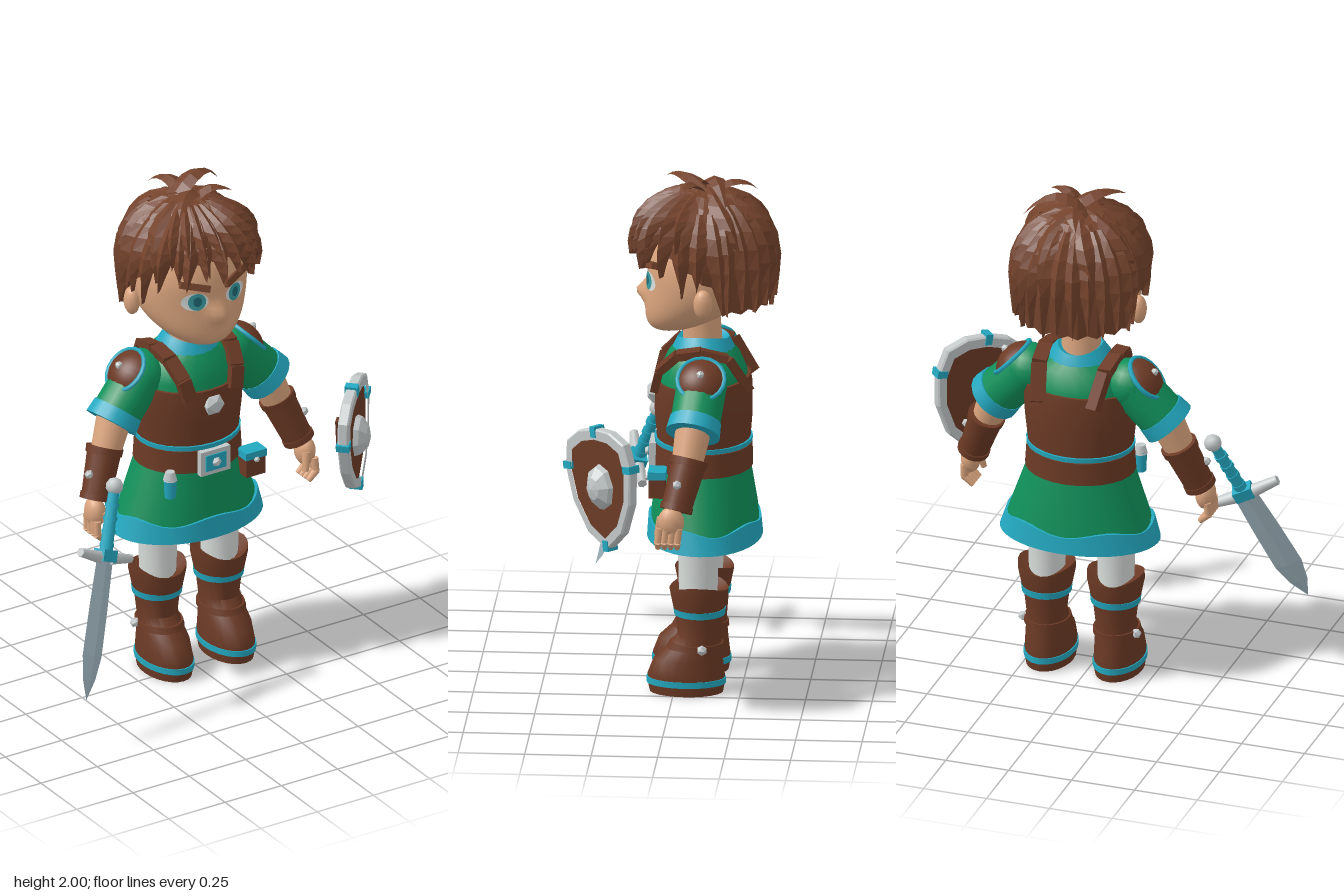
import * as THREE from 'three';
import { toCreasedNormals, mergeGeometries } from 'three/addons/utils/BufferGeometryUtils.js';

const V = (x, y, z) => new THREE.Vector3(x, y, z);
const mat = (name, color, extra = {}) => Object.assign(new THREE.MeshStandardMaterial({ color, ...extra }), { name });

export function createModel() {
  const D = { side: THREE.DoubleSide };
  const skin = mat('skin', 0xdba57e), hair = mat('hair brown', 0x74432c, { ...D, flatShading: true });
  const leather = mat('leather brown', 0x6c3a25, D), green = mat('tunic green', 0x10905a, D);
  const cyan = mat('trim cyan', 0x23a8c0, D), silver = mat('silver', 0xc3c8c8), white = mat('white cloth', 0xd9dedb);
  const steel = mat('blade steel', 0xa3b8c2, { flatShading: true });
  const iris = mat('iris teal', 0x3a9ca0), pupil = mat('pupil teal', 0x1d6873);

  const model = new THREE.Group(), body = new THREE.Group();
  body.name = 'body';
  body.position.x = 0.03;
  model.add(body);

  const add = (parent, name, geo, material, pos) => {
    const m = new THREE.Mesh(geo, material);
    m.name = name;
    if (pos) m.position.copy(pos);
    parent.add(m);
    return m;
  };
  // Elliptical cross-sections [y, z, rx, rz, x] joined from bottom to top
  const loft = (secs, seg = 24, wave = () => 0, caps = true) => {
    const p = [], idx = [];
    secs.forEach(([y, z, rx, rz, x = 0], j) => {
      for (let i = 0; i < seg; i++) {
        const a = i / seg * Math.PI * 2;
        p.push(x + rx * Math.sin(a), y + wave(a, j), z + rz * Math.cos(a));
      }
    });
    const n = secs.length;
    for (let j = 0; j < n - 1; j++) for (let i = 0; i < seg; i++) {
      const a = j * seg + i, b = j * seg + (i + 1) % seg;
      idx.push(a, b, a + seg, b, b + seg, a + seg);
    }
    if (caps) for (let i = 1; i < seg - 1; i++) {
      const t = (n - 1) * seg;
      idx.push(0, i + 1, i, t, t + i, t + i + 1);
    }
    const g = new THREE.BufferGeometry();
    g.setAttribute('position', new THREE.Float32BufferAttribute(p, 3));
    g.setIndex(idx);
    return toCreasedNormals(g, 0.7);
  };
  const align = (m, a, b) => {
    m.position.copy(a).lerp(b, 0.5);
    m.quaternion.setFromUnitVectors(V(0, 1, 0), b.clone().sub(a).normalize());
    return m;
  };
  const limb = (name, a, b, ra, rb, material, seg = 16) =>
    align(add(body, name, new THREE.CylinderGeometry(rb, ra, a.distanceTo(b), seg), material), a, b);
  const bar = (name, a, b, w, d, material) =>
    align(add(body, name, new THREE.BoxGeometry(w, a.distanceTo(b), d), material), a, b);
  const stud = (parent, pos, r) => add(parent, 'stud', new THREE.IcosahedronGeometry(r, 0), silver, pos);

  // Head: sphere with the jaw pushed forward and a small nose
  const faceShift = (x, y) => {
    const k = Math.max(0, (1.62 - y) / 0.24);
    return 0.14 * k * k + 0.04 * Math.exp(-((x / 0.03) ** 2) - ((y - 1.53) / 0.035) ** 2);
  };
  const faceZ = (x, y) => -0.1 + 0.21 * Math.sqrt(Math.max(0, 1 - (x / 0.23) ** 2 - ((y - 1.62) / 0.24) ** 2)) + faceShift(x, y);
  const headGeo = new THREE.SphereGeometry(1, 48, 36);
  headGeo.scale(0.23, 0.24, 0.21).translate(0, 1.62, -0.1);
  const hp = headGeo.attributes.position;
  for (let i = 0; i < hp.count; i++) {
    let s = faceShift(hp.getX(i), hp.getY(i));
    if (hp.getZ(i) < -0.1) s = faceShift(1, hp.getY(i));
    hp.setZ(i, hp.getZ(i) + s);
  }
  headGeo.computeVertexNormals();
  add(body, 'head', headGeo, skin);
  add(body, 'neck', loft([[1.28, -0.1, 0.075, 0.075], [1.46, -0.09, 0.072, 0.072]], 16), skin);

  // Eyes are thin discs that follow the face
  const faceDisc = (name, x, y, rx, ry, lift, material) => {
    const g = new THREE.CircleGeometry(1, 20).scale(rx, ry, 1).translate(x, y, 0), p = g.attributes.position;
    for (let i = 0; i < p.count; i++) p.setZ(i, faceZ(p.getX(i), p.getY(i)) + lift);
    g.computeVertexNormals();
    add(body, name, g, material);
  };
  for (const s of [-1, 1]) {
    faceDisc('eyeWhite', s * 0.088, 1.592, 0.05, 0.036, 0.003, white);
    faceDisc('iris', s * 0.083, 1.593, 0.033, 0.035, 0.006, iris);
    faceDisc('pupil', s * 0.083, 1.595, 0.016, 0.02, 0.009, pupil);
    bar('eyebrow', V(s * 0.035, 1.64, 0.112), V(s * 0.14, 1.668, 0.07), 0.026, 0.03, hair);
    add(body, 'ear', new THREE.SphereGeometry(1, 12, 10).scale(0.03, 0.057, 0.036), skin, V(s * 0.236, 1.55, -0.115));
  }

  // Hair: ridged cap with a jagged hem, then layers of pointed locks
  const R = y => y > 1.68 ? 0.258 * Math.sqrt(Math.max(0, 1 - ((y - 1.68) / 0.265) ** 2)) : 0.258 - 0.06 * (1.68 - y);
  const onHead = (a, y, r) => [0.95 * r * Math.sin(a), y, -0.11 + r * Math.cos(a)];
  const grid = (rows, cols, fn) => {
    const p = [], idx = [];
    for (let j = 0; j < rows; j++) for (let i = 0; i < cols; i++) p.push(...fn(j / (rows - 1), i, j));
    for (let j = 0; j < rows - 1; j++) for (let i = 0; i < cols - 1; i++) {
      const a = j * cols + i;
      idx.push(a, a + cols, a + 1, a + 1, a + cols, a + cols + 1);
    }
    const g = new THREE.BufferGeometry();
    g.setAttribute('position', new THREE.Float32BufferAttribute(p, 3));
    g.setIndex(idx);
    g.computeVertexNormals();
    return g;
  };
  const hem = a => {
    const d = Math.abs(Math.atan2(Math.sin(a), Math.cos(a)));
    return d < 0.8 ? 1.75 : d < 1.75 ? 1.75 - 0.15 * (d - 0.8) / 0.95 : 1.5;
  };
  add(body, 'hairCap', grid(10, 41, (t, i, j) => {
    const a = i / 40 * Math.PI * 2, under = j === 9, h = hem(a) + (i % 2) * 0.012;
    const y = under ? h + 0.03 : 1.945 - (1.945 - h) * Math.min(1, j / 8) ** 1.3;
    return onHead(a, y, R(y) * (under ? 0.8 : 1 - (i % 2) * 0.035));
  }), hair);
  const lock = (a, y0, y1, w, lift, twist = 0) => grid(7, 3, (t, i) => {
    const y = y0 + (y1 - y0) * t ** 1.4, half = w / 2 * (t < 0.5 ? 0.6 + 0.8 * t : 2 * (1 - t));
    const r = R(y) + (i === 1 ? lift * (0.3 + 0.7 * Math.sin(t * 2.5)) : -0.008 + lift * 0.3 * t);
    return onHead(a + twist * t + (i - 1) * half, y, r);
  });
  const locks = [];
  for (let i = -4; i <= 4; i++) {
    const odd = Math.abs(i) % 2;
    locks.push(lock(i * 0.23, 1.9, 1.67 + odd * 0.035 - Math.abs(i) * 0.006, 0.42, 0.045 - odd * 0.01, (i % 3) * 0.06));
    locks.push(lock(i * 0.25 + 0.12, 1.93, 1.75 + odd * 0.02, 0.4, 0.055, 0.1));
  }
  for (const s of [-1, 1]) {
    locks.push(lock(s * 1.2, 1.88, 1.57, 0.4, 0.025, s * 0.08), lock(s * 1.5, 1.88, 1.6, 0.42, 0.022));
    locks.push(lock(s * 1.75, 1.88, 1.52, 0.4, 0.024, s * 0.12));
  }
  for (let i = 0; i < 11; i++) locks.push(lock(1.95 + i * 0.238, 1.9, 1.5 + (i % 2) * 0.02, 0.34, 0.024));
  for (let i = 0; i < 8; i++) locks.push(lock(i * 0.785 + 0.3, 1.95, 1.68 + (i % 3) * 0.03, 0.6, 0.03, 0.25));
  add(body, 'hairLocks', mergeGeometries(locks), hair);
  // Loose tufts on the crown
  const tuft = (a, b, c, w) => {
    const curve = new THREE.QuadraticBezierCurve3(a, b, c), side = c.clone().sub(a).cross(V(0, 1, 0)).normalize();
    add(body, 'hairTuft', grid(7, 4, (t, i) => {
      const k = w * (1 - t * t), q = curve.getPoint(t).addScaledVector(side, [-k, 0, k, -k][i]);
      q.y += i === 1 ? k * 0.4 : 0;
      return q.toArray();
    }), hair);
  };
  tuft(V(-0.04, 1.92, -0.13), V(0.08, 2.06, -0.14), V(0.2, 1.91, -0.2), 0.045);
  tuft(V(0.02, 1.92, -0.08), V(0.06, 2.0, -0.05), V(0.15, 1.95, -0.02), 0.04);
  tuft(V(0.04, 1.92, -0.12), V(-0.06, 2.0, -0.02), V(-0.13, 1.94, 0.05), 0.045);
  tuft(V(0, 1.93, -0.14), V(0, 1.99, -0.24), V(-0.05, 1.92, -0.3), 0.04);

  // Tunic, skirt and trims
  add(body, 'tunic', loft([[0.88, -0.1, 0.185, 0.165], [1.1, -0.1, 0.2, 0.172], [1.22, -0.1, 0.205, 0.165],
    [1.29, -0.1, 0.17, 0.135], [1.335, -0.1, 0.09, 0.1]]), green);
  add(body, 'collar', loft([[1.295, -0.1, 0.13, 0.125], [1.325, -0.1, 0.115, 0.115], [1.362, -0.1, 0.085, 0.097],
    [1.35, -0.1, 0.07, 0.08]], 20, a => 0.008 * Math.cos(2 * a + Math.PI)), cyan);
  add(body, 'skirt', loft([[0.59, -0.105, 0.3, 0.208], [0.7, -0.105, 0.262, 0.198], [0.89, -0.1, 0.195, 0.172]], 32, undefined, false), green);
  add(body, 'skirtHem', loft([[0.6, -0.105, 0.285, 0.2], [0.58, -0.105, 0.311, 0.217], [0.655, -0.105, 0.287, 0.211], [0.655, -0.105, 0.272, 0.198]],
    40, (a, j) => j > 1 ? 0.012 * Math.cos(5 * a) : 0, false), cyan);
  add(body, 'vest', loft([[0.945, -0.1, 0.2, 0.175], [1.06, -0.1, 0.213, 0.184], [1.16, -0.1, 0.22, 0.184], [1.2, -0.1, 0.216, 0.178],
    [1.2, -0.1, 0.19, 0.16]], 28, (a, j) => j > 1 ? -0.012 * Math.cos(a) : 0), leather);
  add(body, 'waistTrim', loft([[0.948, -0.1, 0.207, 0.184], [0.966, -0.1, 0.208, 0.185]], 28), cyan);
  add(body, 'belt', loft([[0.855, -0.1, 0.212, 0.186], [0.945, -0.1, 0.206, 0.184]], 28), leather);
  add(body, 'chestStud', new THREE.IcosahedronGeometry(0.045, 0).scale(1, 1, 0.6), silver, V(0, 1.13, 0.088));
  add(body, 'buckle', new THREE.BoxGeometry(0.13, 0.1, 0.025), silver, V(0, 0.897, 0.088));
  add(body, 'buckleInlay', new THREE.BoxGeometry(0.09, 0.065, 0.01), cyan, V(0, 0.897, 0.1));
  stud(body, V(0, 0.897, 0.104), 0.02);
  add(body, 'pouch', new THREE.BoxGeometry(0.085, 0.09, 0.06), leather, V(0.185, 0.825, 0.06));
  add(body, 'pouchLid', new THREE.BoxGeometry(0.092, 0.03, 0.068), cyan, V(0.185, 0.868, 0.06));
  stud(body, V(0.185, 0.85, 0.096), 0.012);
  add(body, 'vial', new THREE.CylinderGeometry(0.026, 0.022, 0.08, 8), cyan, V(-0.18, 0.82, 0.065));
  add(body, 'vialCap', new THREE.CylinderGeometry(0.018, 0.028, 0.035, 8), silver, V(-0.18, 0.87, 0.065));

  for (const s of [-1, 1]) {
    // Shoulder straps
    const strap = [[0.1, 1.17, 0.077], [0.118, 1.25, 0.058], [0.135, 1.315, -0.01], [0.14, 1.33, -0.1], [0.13, 1.305, -0.2], [0.11, 1.18, -0.277]];
    for (let i = 0; i < 5; i++) bar('strap', V(s * strap[i][0], ...strap[i].slice(1)), V(s * strap[i + 1][0], ...strap[i + 1].slice(1)), 0.055, 0.03, leather);

    // Sleeve, shoulder guard and arm
    const P = (x, y, z) => V(s * x, y, z);
    add(body, 'shoulder', new THREE.SphereGeometry(0.096, 18, 12), green, P(0.2, 1.232, -0.11));
    limb('sleeve', P(0.2, 1.235, -0.11), P(0.33, 1.095, -0.09), 0.094, 0.094, green, 18);
    limb('sleeveCuff', P(0.312, 1.118, -0.093), P(0.348, 1.075, -0.085), 0.098, 0.104, cyan, 18);
    const guard = new THREE.Group();
    guard.name = 'shoulderGuard';
    guard.position.copy(P(0.215, 1.215, -0.11));
    guard.quaternion.setFromUnitVectors(V(0, 1, 0), V(s * 0.72, 0.69, 0));
    body.add(guard);
    add(guard, 'guardPlate', new THREE.SphereGeometry(0.113, 16, 6, 0, Math.PI * 2, 0, 0.85), leather);
    add(guard, 'guardTrim', new THREE.TorusGeometry(0.088, 0.009, 6, 20).rotateX(Math.PI / 2), cyan, V(0, 0.073, 0));
    stud(guard, V(0, 0.114, 0), 0.016);
    limb('forearm', P(0.325, 1.11, -0.09), P(0.4, 0.93, -0.06), 0.07, 0.055, skin);
    limb('bracer', P(0.385, 0.975, -0.073), P(0.45, 0.81, -0.03), 0.066, 0.057, leather);
    limb('bracerRim', P(0.38, 0.988, -0.076), P(0.39, 0.962, -0.07), 0.072, 0.07, leather);
    limb('bracerCuff', P(0.444, 0.826, -0.034), P(0.452, 0.805, -0.029), 0.062, 0.062, leather);
    stud(body, P(0.477, 0.915, -0.035), 0.018);
    // Half-closed hand
    add(body, 'palm', new THREE.SphereGeometry(1, 12, 10).scale(0.038, 0.06, 0.05), skin, P(0.466, 0.765, -0.012));
    for (let f = 0; f < 4; f++) {
      const z = -0.042 + f * 0.024;
      limb('finger', P(0.482, 0.745, z), P(0.485, 0.69, z + 0.006), 0.015, 0.014, skin, 8);
      limb('fingertip', P(0.488, 0.695, z + 0.006), P(0.45, 0.66, z + 0.008), 0.015, 0.011, skin, 8);
    }
    limb('thumb', P(0.45, 0.775, 0.025), P(0.435, 0.705, 0.042), 0.018, 0.012, skin, 8);

    // Leg and boot
    const x = s * 0.137, at = secs => secs.map(q => [...q, x]);
    add(body, 'leg', loft(at([[0.36, -0.09, 0.068, 0.072], [0.5, -0.09, 0.072, 0.075], [0.68, -0.095, 0.084, 0.085]]), 18), white);
    add(body, 'boot', loft(at([[0, -0.045, 0.088, 0.138], [0.035, -0.045, 0.092, 0.145], [0.07, -0.045, 0.092, 0.145],
      [0.13, -0.053, 0.088, 0.13], [0.175, -0.075, 0.082, 0.104], [0.225, -0.095, 0.076, 0.083], [0.34, -0.095, 0.09, 0.092]]), 24), leather);
    add(body, 'bootBand', loft(at([[0.035, -0.045, 0.096, 0.15], [0.058, -0.045, 0.096, 0.15]]), 24), cyan);
    add(body, 'ankleStrap', loft(at([[0.174, -0.078, 0.089, 0.108], [0.196, -0.083, 0.087, 0.102]]), 24), leather);
    stud(body, V(x + s * 0.088, 0.185, -0.11), 0.02);
    add(body, 'bootRing', loft(at([[0.306, -0.095, 0.094, 0.096], [0.332, -0.095, 0.097, 0.099]]), 24), cyan);
    add(body, 'bootCuff', loft(at([[0.33, -0.093, 0.095, 0.097], [0.4, -0.093, 0.109, 0.111], [0.42, -0.093, 0.108, 0.111], [0.4, -0.093, 0.075, 0.078]]),
      24, (a, j) => j > 1 ? -0.013 * Math.cos(2 * a) : 0), leather);
  }

  // Sword: local y runs from the tip up to the pommel, x along the guard
  const sword = new THREE.Group();
  sword.name = 'sword';
  sword.position.set(-0.516, 0.69, 0.188);
  const gx = V(0.25, -0.12, -0.05).normalize(), gy = V(0.29, 0.72, -0.26).normalize();
  sword.quaternion.setFromRotationMatrix(new THREE.Matrix4().makeBasis(gx, gy, gx.clone().cross(gy)));
  model.add(sword);
  const blade = [[0, -0.548], [0.035, -0.47], [0.054, -0.38], [0.052, -0.2], [0.045, 0]].map(q => new THREE.Vector2(...q));
  add(sword, 'blade', new THREE.LatheGeometry(blade, 4).scale(1, 1, 0.24), steel);
  add(sword, 'grip', new THREE.CylinderGeometry(0.021, 0.025, 0.23, 8), cyan, V(0, 0.125, 0));
  for (const y of [0.04, 0.09, 0.14, 0.19]) add(sword, 'gripRing', new THREE.CylinderGeometry(0.027, 0.027, 0.015, 8), cyan, V(0, y, 0));
  add(sword, 'pommel', new THREE.IcosahedronGeometry(0.034, 1), silver, V(0, 0.262, 0));
  add(sword, 'guardBlock', new THREE.BoxGeometry(0.075, 0.046, 0.055), cyan);
  for (const s of [-1, 1]) {
    const arm = add(sword, 'crossGuard', new THREE.CylinderGeometry(0.026, 0.018, 0.115, 6), silver, V(s * 0.085, -0.004, 0));
    arm.rotation.z = s * (Math.PI / 2 + 0.08);
  }

  // Shield: faces local +z
  const shield = new THREE.Group();
  shield.name = 'shield';
  shield.position.set(0.555, 0.92, 0.235);
  shield.rotation.set(0, Math.PI / 4, 0.17);
  model.add(shield);
  const half = [[0, 0.225], [0.09, 0.213], [0.165, 0.17], [0.188, 0.07], [0.165, -0.06], [0.1, -0.175], [0, -0.243]];
  const ring = k => [...half, ...half.slice(1, -1).reverse().map(([x, y]) => [-x, y])].map(([x, y]) => new THREE.Vector2(x * k, y * k));
  const rim = new THREE.Shape(ring(1));
  rim.holes.push(new THREE.Path(ring(0.84)));
  add(shield, 'shieldRim', new THREE.ExtrudeGeometry(rim, { depth: 0.03, bevelSize: 0.006, bevelThickness: 0.006, bevelOffset: -0.006, bevelSegments: 1 }), silver, V(0, 0, -0.012));
  add(shield, 'shieldPanel', new THREE.ExtrudeGeometry(new THREE.Shape(ring(0.88)), { depth: 0.022, bevelEnabled: false }), leather, V(0, 0, -0.01));
  const boss = [[0.068, 0], [0.062, 0.02], [0.034, 0.046], [0, 0.056]].map(q => new THREE.Vector2(...q));
  add(shield, 'boss', toCreasedNormals(new THREE.LatheGeometry(boss, 8), 0.1).rotateX(Math.PI / 2).scale(1, 1.3, 1), silver, V(0, 0, 0.012));
  for (const [x, y, r] of [[0, 0.212, 0], [0, -0.225, 0], [0.172, 0.075, 1.57], [-0.172, 0.075, 1.57]])
    add(shield, 'rimClip', new THREE.BoxGeometry(0.028, 0.042, 0.05), cyan, V(x, y, 0.003)).rotation.z = r;
  add(shield, 'shieldGrip', new THREE.BoxGeometry(0.03, 0.13, 0.018), leather, V(0, 0, -0.055));
  for (const y of [-0.055, 0.055]) add(shield, 'gripMount', new THREE.BoxGeometry(0.03, 0.022, 0.05), leather, V(0, y, -0.032));

  return model;
}
